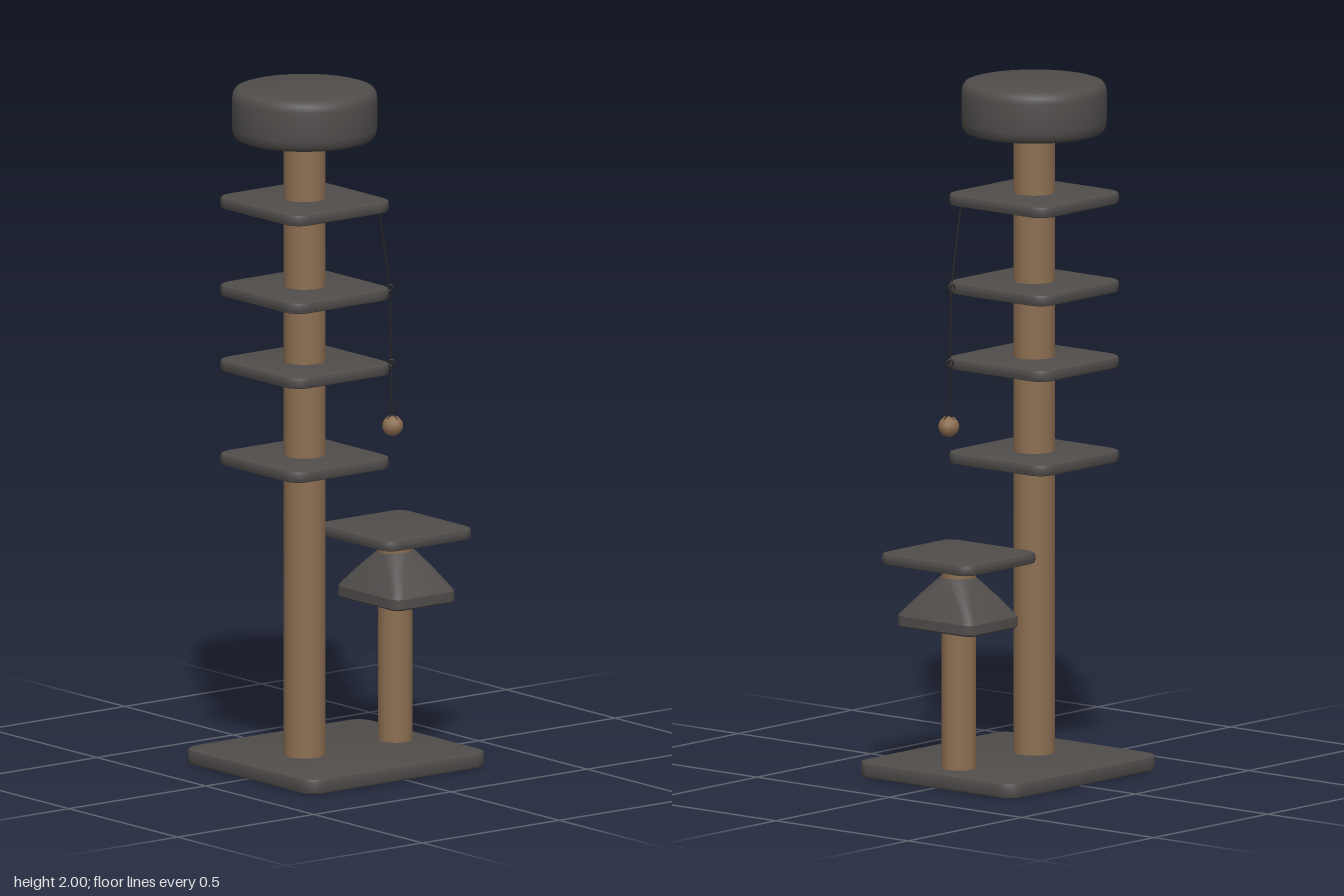
import * as THREE from 'three';
import { toCreasedNormals } from 'three/addons/utils/BufferGeometryUtils.js';

const material = (name, color) => Object.assign(new THREE.MeshStandardMaterial({ color }), { name });

// Rounded rectangle outline centred on the origin
function roundedRect(w, d, r) {
  const x = w / 2, y = d / 2, s = new THREE.Shape();
  s.moveTo(-x + r, -y);
  s.lineTo(x - r, -y).absarc(x - r, -y + r, r, -Math.PI / 2, 0);
  s.lineTo(x, y - r).absarc(x - r, y - r, r, 0, Math.PI / 2);
  s.lineTo(-x + r, y).absarc(-x + r, y - r, r, Math.PI / 2, Math.PI);
  s.lineTo(-x, -y + r).absarc(-x + r, -y + r, r, Math.PI, Math.PI * 1.5);
  return s;
}

// Horizontal padded board with softened edges, its underside at y = 0
function slab(w, d, h, r, bevel = 0.009) {
  const g = new THREE.ExtrudeGeometry(roundedRect(w - 2 * bevel, d - 2 * bevel, r - bevel), {
    depth: h - 2 * bevel, bevelThickness: bevel, bevelSize: bevel, bevelSegments: 2, curveSegments: 4,
  });
  g.translate(0, 0, bevel).rotateX(-Math.PI / 2);
  return toCreasedNormals(g, 0.7);
}

// Loft of rounded-rectangle rings given as [y, halfX, halfZ, radius], capped at both ends
function loft(rings) {
  const pos = [], idx = [];
  let n = 0;
  for (const [y, hx, hz, r] of rings) {
    n = 0;
    for (let c = 0; c < 4; c++) {
      const sx = c === 0 || c === 3 ? 1 : -1, sz = c < 2 ? 1 : -1;
      for (let k = 0; k <= 4; k++, n++) {
        const a = (c + k / 4) * Math.PI / 2;
        pos.push(sx * (hx - r) + r * Math.cos(a), y, sz * (hz - r) + r * Math.sin(a));
      }
    }
  }
  for (let i = 0; i < rings.length - 1; i++) {
    for (let j = 0; j < n; j++) {
      const a = i * n + j, b = i * n + (j + 1) % n;
      idx.push(a, a + n, b, b, a + n, b + n);
    }
  }
  const top = (rings.length - 1) * n;
  for (let j = 1; j < n - 1; j++) idx.push(0, j, j + 1, top, top + j + 1, top + j);
  const g = new THREE.BufferGeometry();
  g.setAttribute('position', new THREE.Float32BufferAttribute(pos, 3));
  g.setIndex(idx);
  return toCreasedNormals(g, 0.5);
}

export function createModel() {
  const model = new THREE.Group();
  model.name = 'catTree';
  const plush = material('charcoal plush', 0x504d4b);
  const sisal = material('brown sisal', 0x8c6e52);
  const cord = material('dark cord', 0x2b2826);

  const add = (name, geometry, mat, x = 0, y = 0, z = 0, parent = model) => {
    const mesh = new THREE.Mesh(geometry, mat);
    mesh.name = name;
    mesh.position.set(x, y, z);
    parent.add(mesh);
    return mesh;
  };
  const post = (name, r, y0, y1, z) =>
    add(name, new THREE.CylinderGeometry(r, r, y1 - y0, 32), sisal, 0, (y0 + y1) / 2, z);

  const mainZ = 0.137, sideZ = -0.195;

  // Base and the two posts
  add('base', slab(0.6, 0.665, 0.045, 0.055), plush, 0, 0, 0.022);
  post('mainPost', 0.06, 0.04, 1.87, mainZ);
  post('sidePost', 0.05, 0.04, 0.645, sideZ);

  // Four steps up the main post
  [0.89, 1.165, 1.385, 1.642].forEach((y, i) =>
    add('step' + (i + 1), slab(0.382, 0.37, 0.034, 0.055), plush, 0, y, mainZ));

  // Lower platform and the sloping skirt beneath it
  add('lowerPlatform', slab(0.348, 0.326, 0.032, 0.045), plush, 0, 0.64, sideZ);
  add('skirt', loft([
    [0.455, 0.138, 0.108, 0.025],
    [0.46, 0.144, 0.114, 0.03],
    [0.488, 0.144, 0.114, 0.03],
    [0.498, 0.137, 0.108, 0.028],
    [0.55, 0.092, 0.08, 0.03],
    [0.59, 0.06, 0.058, 0.045],
    [0.602, 0.05, 0.05, 0.049],
  ]), plush, 0, 0, -0.199);

  // Round padded perch on top
  const perch = [[0, 0], [0.185, 0], [0.198, 0.005], [0.206, 0.016], [0.209, 0.035], [0.209, 0.118],
    [0.206, 0.135], [0.198, 0.146], [0.185, 0.15], [0, 0.15]].map(p => new THREE.Vector2(...p));
  add('topPerch', toCreasedNormals(new THREE.LatheGeometry(perch, 40), 0.7), plush, 0, 1.85, mainZ);

  // Hanging toy: cord in straight runs, ring knots and a ball
  const toy = new THREE.Group();
  toy.name = 'hangingToy';
  model.add(toy);
  const path = [[0.133, 1.648, -0.03], [0.141, 1.41, -0.063], [0.143, 1.19, -0.067], [0.145, 1.02, -0.068]]
    .map(p => new THREE.Vector3(...p));
  for (let i = 0; i < 3; i++) {
    const run = new THREE.LineCurve3(path[i], path[i + 1]);
    add('cord' + (i + 1), new THREE.TubeGeometry(run, 1, 0.0022, 6), cord, 0, 0, 0, toy);
  }
  for (const p of path.slice(1, 3)) {
    const ring = add('knot', new THREE.TorusGeometry(0.009, 0.0025, 6, 12), cord, p.x, p.y, p.z, toy);
    ring.rotation.y = Math.PI / 4;
  }
  const ball = new THREE.IcosahedronGeometry(0.031, 1);
  add('ball', ball, sisal, 0.145, 1.005, -0.07, toy);
  for (const turn of [0, Math.PI / 2]) {
    const wrap = add('ballWrap', new THREE.TorusGeometry(0.03, 0.0018, 5, 12, Math.PI / 2), cord, 0.145, 1.005, -0.07, toy);
    wrap.rotation.set(0, turn, Math.PI / 4, 'YXZ');
  }
  return model;
}
